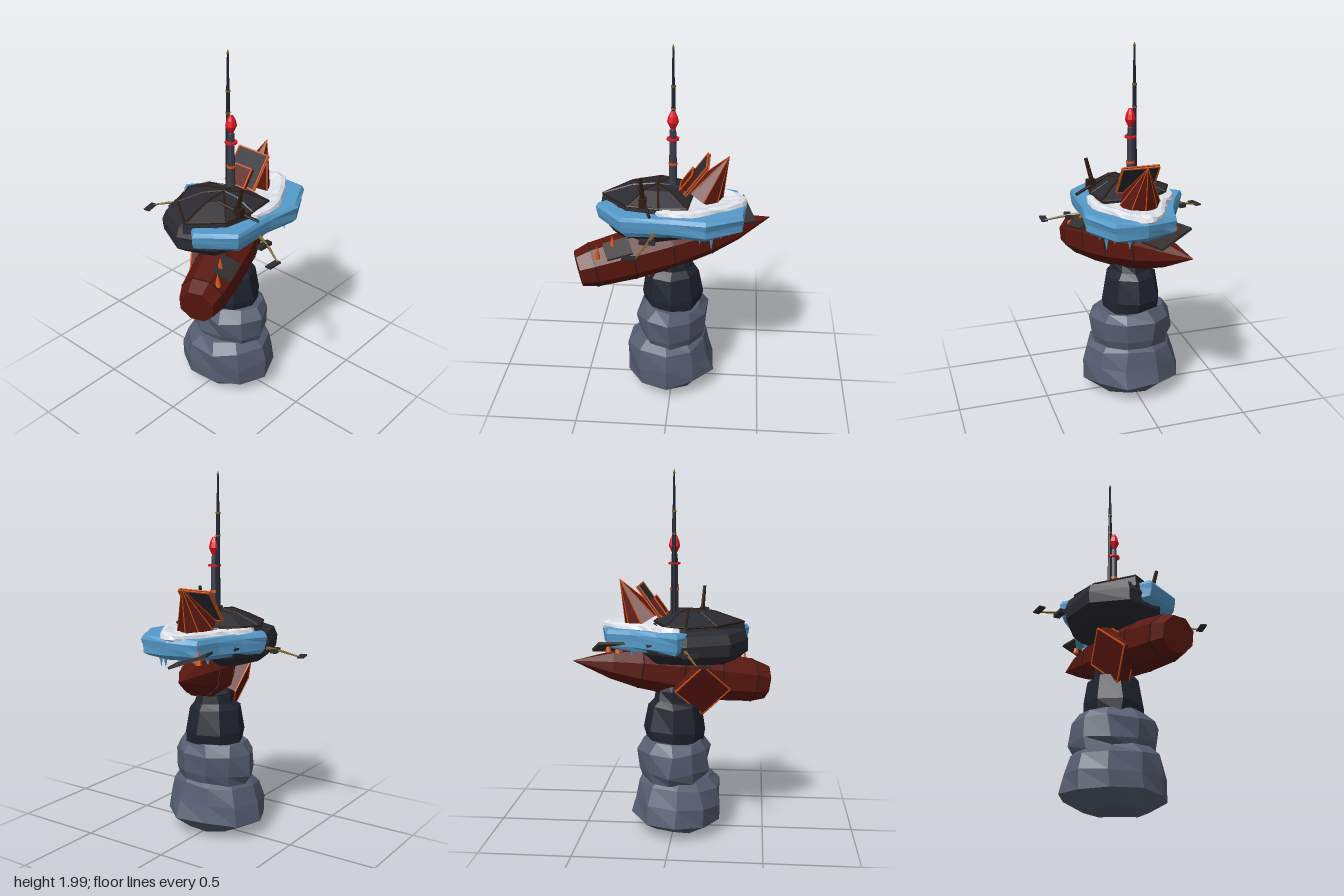
import * as THREE from 'three';

const mat = (color) => new THREE.MeshStandardMaterial({ color, flatShading: true, side: THREE.DoubleSide });
const M = {
  rock: mat(0x555d70), core: mat(0x20242f), dark: mat(0x2a2a31), brown: mat(0x2c1c14), red: mat(0x5a170f),
  orange: mat(0xd4551a), blue: mat(0x559bcb), snow: mat(0xdfe3ea), gold: mat(0x7d6026),
  plate: mat(0x34302f), steel: mat(0x3c3c49), light: mat(0xe01420),
};
const V = (x, y, z) => new THREE.Vector3(x, y, z);

function add(parent, name, geo, material, pos = [0, 0, 0], rot = [0, 0, 0]) {
  const m = new THREE.Mesh(geo, material);
  m.name = name;
  m.position.set(...pos);
  m.rotation.set(...rot, 'YZX');
  parent.add(m);
  return m;
}

// Tapered round bar from a to b
function bar(parent, name, a, b, r1, r2, material, sides = 5) {
  const d = b.clone().sub(a);
  const m = add(parent, name, new THREE.CylinderGeometry(r2, r1, d.length(), sides), material);
  m.position.copy(a).addScaledVector(d, 0.5);
  m.quaternion.setFromUnitVectors(V(0, 1, 0), d.normalize());
}

// Turned shape from [radius, y] points
const turned = (pts, sides) => new THREE.LatheGeometry(pts.map((p) => new THREE.Vector2(...p)), sides);

// Shifts vertices by a repeatable amount depending on position
function roughen(geo, amount, seed) {
  const p = geo.attributes.position;
  const h = (x, y, z, k) => {
    const s = Math.sin(Math.round(x * 500) * 12.99 + Math.round(y * 500) * 78.23 + Math.round(z * 500) * 37.7 + k * 19.1 + seed) * 4375.5;
    return (s - Math.floor(s) - 0.5) * 2 * amount;
  };
  for (let i = 0; i < p.count; i++) {
    const [x, y, z] = [p.getX(i), p.getY(i), p.getZ(i)];
    p.setXYZ(i, x + h(x, y, z, 1), y + h(x, y, z, 2), z + h(x, y, z, 3));
  }
  geo.computeVertexNormals();
  return geo;
}

// Slab from a plan outline [x, z] and layers [y, scale] about a centre, closed at both ends
function slab(outline, layers, [cx, cz]) {
  const n = outline.length;
  const pos = [], idx = [];
  for (const [y, s] of [[layers[0][0], 0], ...layers, [layers.at(-1)[0], 0]])
    for (const [x, z] of outline) pos.push(cx + (x - cx) * s, y, cz + (z - cz) * s);
  for (let j = 0; j <= layers.length; j++)
    for (let i = 0; i < n; i++) {
      const a = j * n + i, b = j * n + (i + 1) % n;
      idx.push(a, b, a + n, b, b + n, a + n);
    }
  const g = new THREE.BufferGeometry();
  g.setAttribute('position', new THREE.Float32BufferAttribute(pos, 3));
  g.setIndex(idx);
  g.computeVertexNormals();
  return g;
}

// Box with thin rims around its two large faces
function framedPanel(parent, name, w, h, d, pos, rot, material) {
  const g = new THREE.Group();
  g.name = name;
  g.position.set(...pos);
  g.rotation.set(...rot, 'YXZ');
  add(g, name + 'Face', new THREE.BoxGeometry(w, h, d), material);
  for (const s of [-1, 1])
    for (const f of [-1, 1]) {
      add(g, name + 'Rim', new THREE.BoxGeometry(w, 0.007, 0.007), M.orange, [0, s * h / 2, f * d / 2]);
      add(g, name + 'Rim', new THREE.BoxGeometry(0.007, h, 0.007), M.orange, [s * w / 2, 0, f * d / 2]);
    }
  parent.add(g);
  return g;
}

export function createModel() {
  const root = new THREE.Group();
  root.name = 'outpost';

  // Rock pedestal and dark core
  add(root, 'lowerRock', roughen(turned([[0, 0.03], [0.17, 0.025], [0.264, 0.09], [0.257, 0.19], [0.235, 0.29], [0.18, 0.335], [0, 0.34]], 10).scale(0.97, 1, 1.06), 0.013, 3), M.rock, [-0.008, 0, 0], [0, 0, 0.07]);
  add(root, 'upperRock', roughen(turned([[0, 0.3], [0.185, 0.31], [0.203, 0.36], [0.205, 0.47], [0.165, 0.53], [0, 0.52]], 10).scale(0.98, 1, 1.14), 0.012, 8), M.rock);
  add(root, 'coreTower', roughen(turned([[0, 0.48], [0.155, 0.49], [0.168, 0.58], [0.145, 0.715], [0.112, 0.745], [0.1, 0.8], [0.07, 0.85], [0.07, 1], [0, 1]], 8), 0.007, 5), M.core);

  // Slanted hull with pointed nose
  const hull = new THREE.Group();
  hull.name = 'hull';
  hull.position.set(0.007, 0.895, 0.025);
  hull.rotation.set(0, 0.342, 0.158, 'YZX');
  root.add(hull);
  const prof = [[-0.545, 0], [-0.545, 0.1], [-0.46, 0.124], [-0.25, 0.138], [-0.03, 0.138], [0.2, 0.112], [0.36, 0.076], [0.57, 0]];
  add(hull, 'hullShell', turned(prof.map(([x, r]) => [r, x]), 8).rotateZ(-Math.PI / 2).rotateX(Math.PI / 8), M.red);
  for (const [x, r] of prof.slice(2, 6))
    add(hull, 'hullBand', new THREE.CylinderGeometry(r + 0.002, r + 0.002, 0.008, 8).rotateZ(-Math.PI / 2).rotateX(Math.PI / 8), M.brown, [x, 0, 0]);

  // Plates and spikes at the two ends of the hull
  add(root, 'nosePlate', new THREE.BoxGeometry(0.17, 0.014, 0.21), M.plate, [0.34, 1.05, -0.09], [0.35, 0.342, 0.05]);
  add(root, 'tailPlate', new THREE.BoxGeometry(0.14, 0.014, 0.11), M.plate, [-0.28, 0.945, 0.215], [0.5, 0.342, 0.158]);
  for (const [x, y, z] of [[-0.385, 0.9, 0.25], [-0.31, 0.94, 0.2], [0.345, 1.03, -0.14], [0.3, 1.02, -0.1]])
    bar(root, 'spike', V(x, y, z), V(x, y + 0.075, z), 0.018, 0.001, M.orange, 7);

  // Thick fin behind and below the hull
  framedPanel(root, 'rearFin', 0.23, 0.21, 0.08, [-0.15, 0.825, -0.04], [-0.35, 0.342, 0.75], M.red);

  // Faceted main body
  add(root, 'mainBody', roughen(turned([[0, 0.97], [0.225, 0.98], [0.28, 1.03], [0.29, 1.09], [0.27, 1.14], [0.2, 1.17], [0, 1.18]], 8).scale(1.08, 1, 0.94), 0.006, 2), M.dark, [-0.095, 0, -0.02]);

  // Low ribbed cap
  const cap = [[-0.38, 0.02], [-0.235, 0.175], [-0.06, 0.205], [0.09, 0.19], [0.11, 0], [0.03, -0.19], [-0.08, -0.24], [-0.24, -0.165]];
  const bx = -0.08, bz = 0.02;
  add(root, 'cap', slab(cap, [[1.12, 1.04], [1.182, 1], [1.238, 0.45], [1.25, 0.02]], [bx, bz]), M.dark);
  const at = (i, s, y) => V(bx + (cap[i % 8][0] - bx) * s, y, bz + (cap[i % 8][1] - bz) * s);
  for (let i = 0; i < 8; i++) {
    bar(root, 'capRib', at(i, 1, 1.182), at(i, 0.45, 1.238), 0.006, 0.006, M.brown);
    bar(root, 'capRib', at(i, 0.45, 1.238), at(i, 0, 1.25), 0.006, 0.006, M.brown);
    bar(root, 'capEdge', at(i, 1, 1.182), at(i + 1, 1, 1.182), 0.006, 0.006, M.brown);
  }

  // Ice shelf, icicles and snow
  const ice = [[-0.04, -0.31], [-0.12, -0.23], [-0.35, 0.02], [-0.41, 0.1], [-0.26, 0.28], [0, 0.275], [0.2, 0.305], [0.39, 0.2], [0.4, 0.03], [0.37, -0.07], [0.36, -0.14], [0.22, -0.18], [0.08, -0.24]];
  add(root, 'iceShelf', roughen(slab(ice, [[1.045, 0.9], [1.065, 0.97], [1.1, 0.98], [1.135, 1], [1.155, 0.96]], [0.05, 0]), 0.005, 4), M.blue);
  [[0.16, 0.22, 0.05], [0.22, 0.2, 0.09], [0.27, 0.17, 0.04], [0.31, 0.1, 0.06], [0.32, 0, 0.05],
    [0.29, -0.07, 0.08], [0.22, -0.11, 0.05]].forEach(([x, z, l]) =>
    bar(root, 'icicle', V(x, 1.065, z), V(x, 1.045 - l, z), 0.02, 0.001, M.blue, 6));
  const snow = new THREE.CatmullRomCurve3([[-0.06, -0.23], [-0.07, 0], [-0.08, 0.22], [0, 0.245], [0.1, 0.245], [0.2, 0.2], [0.3, 0.14], [0.39, 0.07], [0.4, 0], [0.35, -0.07], [0.22, -0.13], [0.12, -0.18], [0.05, -0.23]].map(([x, z]) => V(x, 0, z)), true)
    .getPoints(28).slice(0, 28).map((p) => [p.x, p.z]);
  add(root, 'snowCap', roughen(slab(snow, [[1.14, 0.97], [1.155, 1], [1.175, 0.97], [1.182, 0.85], [1.17, 0.65]], [0.13, 0.02]), 0.004, 7), M.snow);

  // Tilted red cone with ribs, backing panel and hatch
  const apex = V(0.3, 1.41, 0), base = V(0.17, 1.18, 0);
  bar(root, 'redCone', base, apex, 0.11, 0.001, M.red, 8);
  const axis = apex.clone().sub(base).normalize();
  const turn = new THREE.Quaternion().setFromUnitVectors(V(0, 1, 0), axis);
  for (let i = 0; i < 8; i++) {
    const a = i * Math.PI / 4;
    const foot = V(0.11 * Math.sin(a), 0, 0.11 * Math.cos(a)).applyQuaternion(turn).add(base);
    bar(root, 'coneRib', foot, apex, 0.004, 0.002, M.orange, 4);
  }
  const panels = new THREE.Group();
  panels.name = 'crestPanels';
  panels.position.set(0.13, 1.3, 0);
  panels.rotation.z = Math.atan2(0.165, 0.12);
  root.add(panels);
  framedPanel(panels, 'backPanel', 0.2, 0.2, 0.012, [0, 0, 0], [-Math.PI / 2, 0, 0], M.dark);
  framedPanel(panels, 'hatch', 0.11, 0.11, 0.03, [-0.055, 0.016, 0], [-Math.PI / 2, 0, 0], M.red);

  // Beacon column and red lamp
  add(root, 'beaconColumn', turned([[0.026, 1.19], [0.023, 1.26], [0.02, 1.4], [0.017, 1.55], [0, 1.56]], 8), M.steel);
  add(root, 'columnRing', new THREE.CylinderGeometry(0.024, 0.024, 0.014, 8), M.orange, [0, 1.36, 0]);
  add(root, 'warningDisc', new THREE.CylinderGeometry(0.034, 0.034, 0.01, 10), M.light, [0, 1.5, 0]);
  add(root, 'beaconLamp', turned([[0, 1.55], [0.013, 1.555], [0.031, 1.595], [0.024, 1.625], [0.012, 1.65], [0, 1.655]], 8), M.light);

  // Tall antenna
  bar(root, 'antennaLower', V(0, 1.2, -0.022), V(0, 1.78, -0.022), 0.015, 0.01, M.core, 7);
  bar(root, 'antennaUpper', V(0, 1.78, -0.022), V(0, 1.98, -0.022), 0.009, 0.005, M.core, 6);
  for (const y of [1.66, 1.78])
    add(root, 'antennaRing', new THREE.CylinderGeometry(0.013, 0.013, 0.01, 7), M.gold, [0, y, -0.022]);
  add(root, 'antennaTip', turned([[0, 1.965], [0.008, 1.98], [0, 2]], 6), M.gold, [0, 0, -0.022]);

  // Broken short antenna on the cap
  bar(root, 'shortAntenna', V(-0.14, 1.17, 0.165), V(-0.153, 1.355, 0.208), 0.014, 0.01, M.brown, 6);
  bar(root, 'crossBar', V(-0.178, 1.245, 0.07), V(-0.1, 1.17, 0.28), 0.01, 0.008, M.brown, 6);
  add(root, 'antennaFoot', new THREE.BoxGeometry(0.035, 0.05, 0.05), M.brown, [-0.145, 1.21, 0.185]);

  // Side arms with end plates
  for (const s of [-1, 1]) {
    bar(root, 'sideArm', V(-0.07, 1.07, s * 0.25), V(-0.11, 1.05, s * 0.36), 0.012, 0.007, M.gold);
    bar(root, 'sideArm', V(-0.11, 1.05, s * 0.36), V(-0.155, 1.02, s * 0.455), 0.007, 0.004, M.gold);
    const yaw = s > 0 ? -0.03 : 0.25;
    add(root, 'armPlate', new THREE.BoxGeometry(0.083, 0.008, 0.035), M.dark, [-0.183, 1.02, s * 0.448], [0, yaw, 0]);
    add(root, 'innerArmPlate', new THREE.BoxGeometry(0.083, 0.02, 0.035), M.dark, [-0.108, 1.05, s * 0.325], [0, yaw, 0]);
  }
  return root;
}
